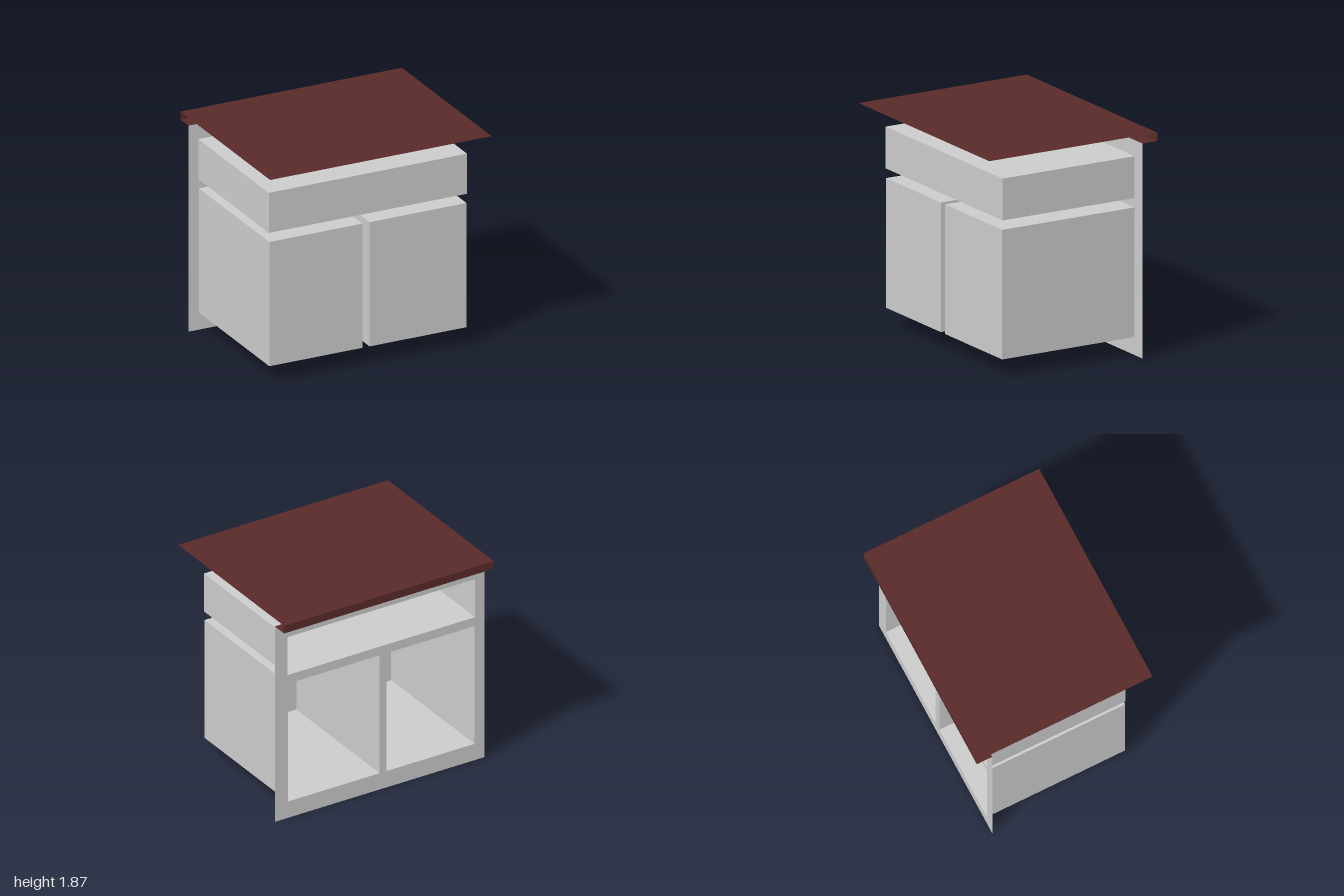
import * as THREE from 'three';

const grey = new THREE.MeshStandardMaterial({ color: 0xcccccc, side: THREE.DoubleSide });
const brown = new THREE.MeshStandardMaterial({ color: 0x5a2a2a, side: THREE.DoubleSide });

const FRAME_Z = -0.66, FRONT_Z = 0.59, BACK_Z = -0.8, TOP_FRONT_Z = 0.79;
const FRAME_H = 1.8, TOP_Y = 1.87;

// Openings in the frame, each with a hollow compartment behind it
const openings = [
  { name: 'drawerCompartment', x0: -0.91, x1: 0.88, y0: 1.315, y1: 1.665 },
  { name: 'rightCupboard', x0: -0.905, x1: -0.065, y0: 0.15, y1: 1.235 },
  { name: 'leftCupboard', x0: 0.0, x1: 0.875, y0: 0.15, y1: 1.235 },
];

function addMesh(group, name, geometry, material) {
  const mesh = new THREE.Mesh(geometry, material);
  mesh.name = name;
  group.add(mesh);
  return mesh;
}

function rectangle(Type, x0, y0, x1, y1) {
  const r = new Type();
  r.moveTo(x0, y0);
  r.lineTo(x1, y0);
  r.lineTo(x1, y1);
  r.lineTo(x0, y1);
  r.closePath();
  return r;
}

// Thin-walled box without its -z face
function openBox({ x0, x1, y0, y1 }) {
  const box = new THREE.BoxGeometry(x1 - x0, y1 - y0, FRONT_Z - FRAME_Z);
  box.setIndex(Array.from(box.index.array).slice(0, 30));
  box.clearGroups();
  return box.translate((x0 + x1) / 2, (y0 + y1) / 2, (FRONT_Z + FRAME_Z) / 2);
}

export function createModel() {
  const model = new THREE.Group();
  model.name = 'cabinet';

  // Flat frame with three openings, facing -z
  const outline = rectangle(THREE.Shape, -1, 0, 1, FRAME_H);
  for (const o of openings) outline.holes.push(rectangle(THREE.Path, -o.x0, o.y0, -o.x1, o.y1));
  const frame = new THREE.ShapeGeometry(outline).rotateY(Math.PI).translate(0, 0, FRAME_Z);
  addMesh(model, 'faceFrame', frame, grey);

  // Compartments
  for (const o of openings) addMesh(model, o.name, openBox(o), grey);

  // Worktop sheet with a lip that turns down and under to the frame
  const worktop = new THREE.Group();
  worktop.name = 'worktop';
  const topDepth = TOP_FRONT_Z - BACK_Z, lipDepth = FRAME_Z - BACK_Z, lipH = TOP_Y - FRAME_H;
  addMesh(worktop, 'worktopSheet', new THREE.PlaneGeometry(2, topDepth).rotateX(-Math.PI / 2)
    .translate(0, TOP_Y, (TOP_FRONT_Z + BACK_Z) / 2), brown);
  addMesh(worktop, 'worktopLip', new THREE.PlaneGeometry(2, lipH).rotateY(Math.PI)
    .translate(0, FRAME_H + lipH / 2, BACK_Z), brown);
  addMesh(worktop, 'lipUnderside', new THREE.PlaneGeometry(2, lipDepth).rotateX(Math.PI / 2)
    .translate(0, FRAME_H, (FRAME_Z + BACK_Z) / 2), brown);
  model.add(worktop);

  return model;
}
